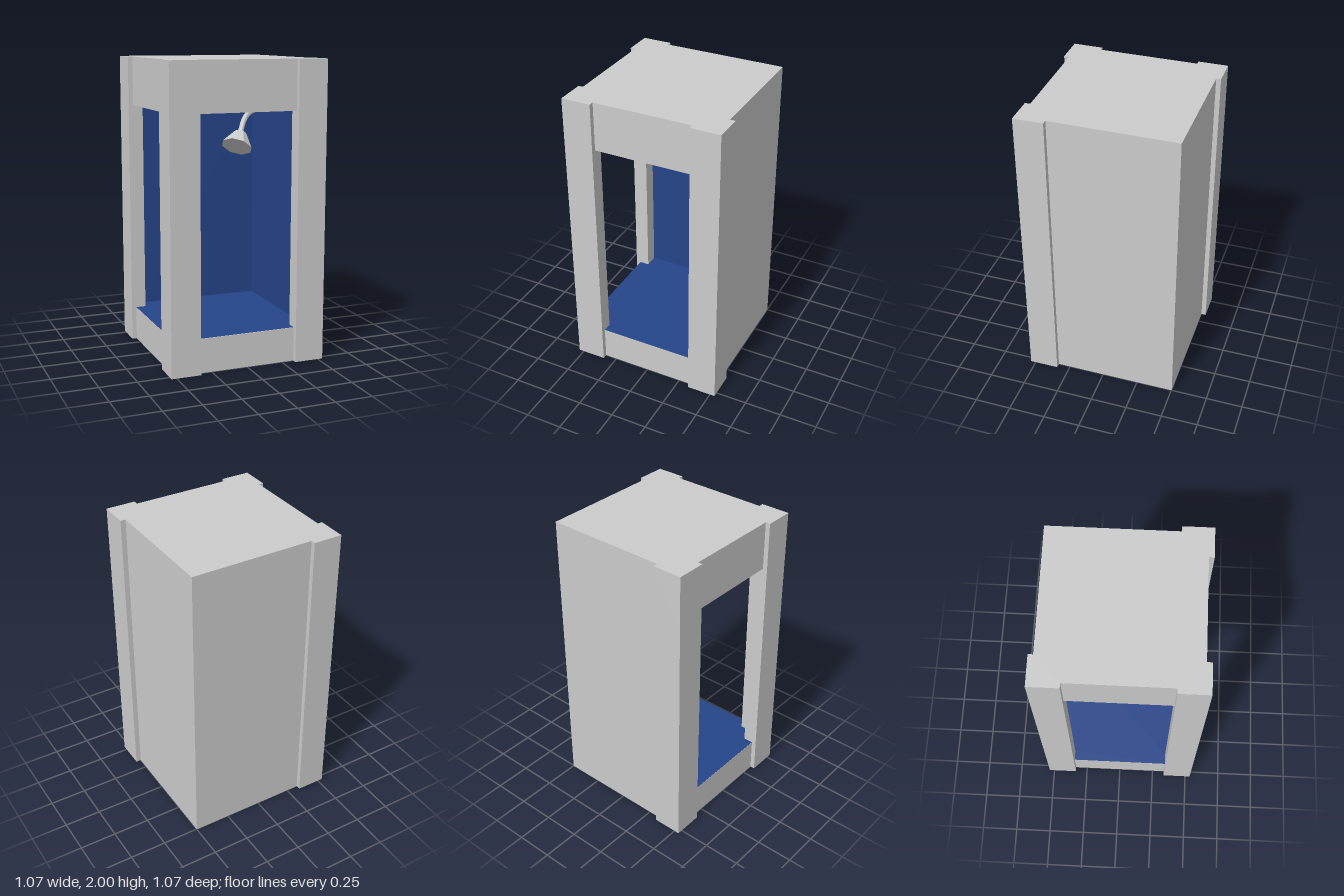
import * as THREE from 'three';

const grey = new THREE.MeshStandardMaterial({ color: 0xcccccc, flatShading: true });
const blue = new THREE.MeshStandardMaterial({ color: 0x254489 });

// Plan shape from [x, z] points
const plan = (pts) => new THREE.Shape(pts.map(([x, z]) => new THREE.Vector2(x, -z)));

export function createModel() {
  const group = new THREE.Group();
  const add = (name, geometry, material = grey) => {
    const mesh = new THREE.Mesh(geometry, material);
    mesh.name = name;
    group.add(mesh);
    return mesh;
  };
  // Upright prism over a plan, from y0 to y1
  const prism = (name, pts, y0, y1) => {
    const g = new THREE.ExtrudeGeometry(plan(pts), { depth: y1 - y0, bevelEnabled: false });
    g.rotateX(-Math.PI / 2).translate(0, y0, 0);
    return add(name, g);
  };

  const P = 0.535, Q = 0.335, W = 0.503, I = 0.435; // post outside, post edge, wall outside, wall inside
  const floorY = 0.23, ceilingY = 1.67;

  // Base and roof share one outline with three projecting corners
  const outline = [
    [-P, -P], [-Q, -P], [-Q, -W], [0.5, -W], [0.5, Q], [P, Q], [P, P], [Q, P],
    [Q, 0.5], [-Q, 0.5], [-Q, P], [-P, P], [-P, Q], [-W, Q], [-W, -Q], [-P, -Q],
  ];
  prism('base', outline, 0, floorY);
  prism('roof', outline, ceilingY, 2);

  // Back and left walls, running into two corner posts
  prism('walls', [
    [-P, -P], [-Q, -P], [-Q, -W], [0.5, -W], [0.5, Q], [P, Q], [P, P], [Q, P],
    [Q, I], [I, I], [I, -I], [-I, -I], [-I, -Q], [-P, -Q],
  ], floorY, ceilingY);

  // Free-standing L-shaped post
  prism('frontRightPost', [[-P, Q], [-I, Q], [-I, I], [-Q, I], [-Q, P], [-P, P]], floorY, ceilingY);

  // Blue lining: floor reaching through both openings, and two walls
  const floor = new THREE.ShapeGeometry(plan([
    [-I, -I], [I, -I], [I, I], [Q, I], [Q, 0.5], [-Q, 0.5], [-Q, I], [-I, I],
    [-I, Q], [-W, Q], [-W, -Q], [-I, -Q],
  ]));
  add('floorLining', floor.rotateX(-Math.PI / 2).translate(0, floorY + 0.002, 0), blue);
  const lining = () => new THREE.PlaneGeometry(2 * I, ceilingY - floorY);
  const midY = (floorY + ceilingY) / 2;
  add('backLining', lining().translate(0, midY, -I + 0.002), blue);
  add('leftLining', lining().rotateY(-Math.PI / 2).translate(I - 0.002, midY, 0), blue);

  // Shower pipe, bending out of the back corner
  const path = new THREE.CatmullRomCurve3(
    [[0.44, 1.6], [0.36, 1.575], [0.315, 1.54], [0.265, 1.45]].map(([d, y]) => new THREE.Vector3(d, y, -d)));
  add('showerPipe', new THREE.TubeGeometry(path, 6, 0.02, 8));

  // Shower head, a faceted cone tilted out of the corner
  const head = add('showerHead', new THREE.CylinderGeometry(0.043, 0.112, 0.115, 8));
  head.position.set(0.247, 1.41, -0.247);
  head.quaternion.setFromUnitVectors(
    new THREE.Vector3(0, 1, 0), new THREE.Vector3(0.55, 1, -0.55).normalize());

  return group;
}
